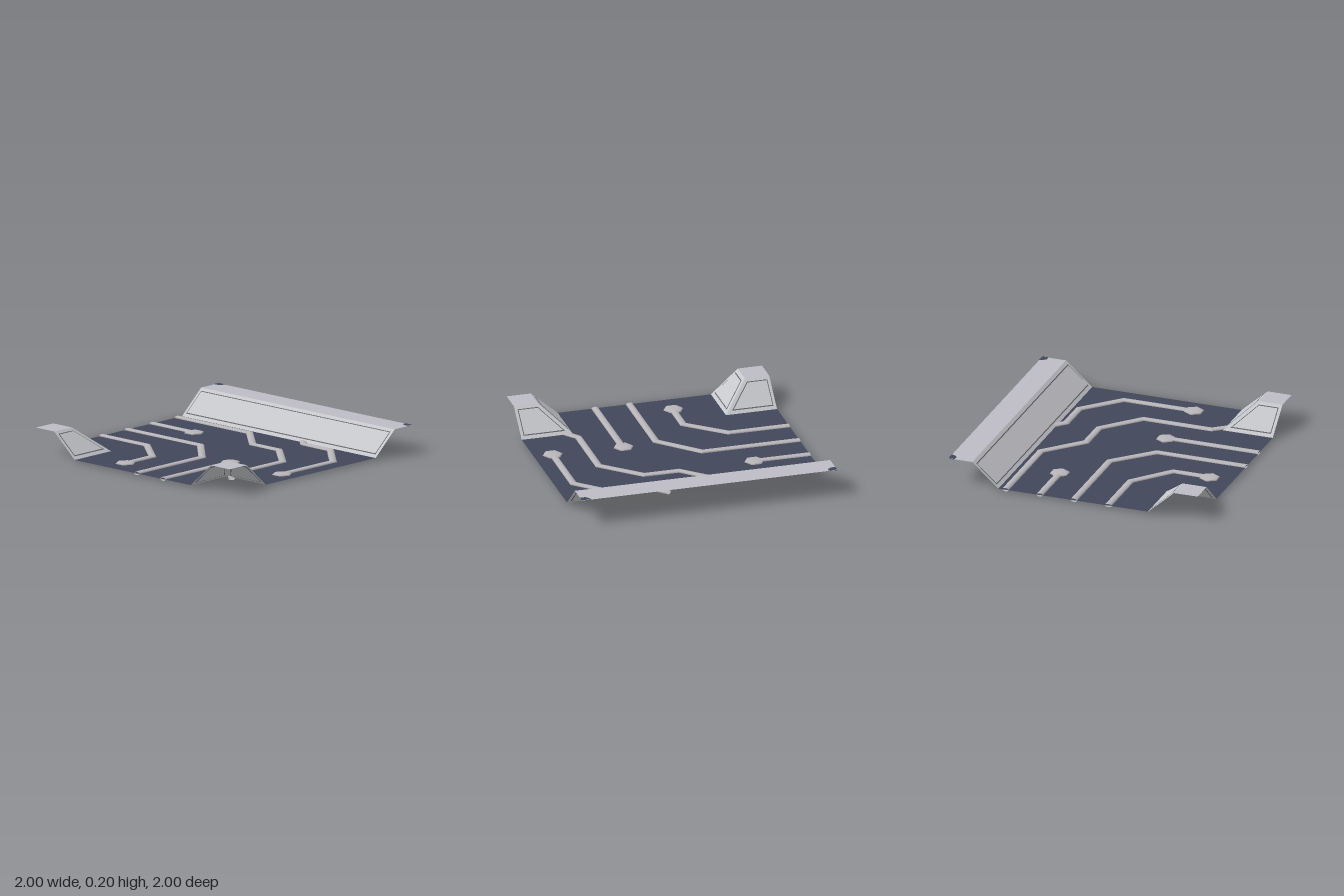
import * as THREE from 'three';

const mat = (name, color) => {
  const m = new THREE.MeshStandardMaterial({ color, side: THREE.DoubleSide });
  m.name = name;
  return m;
};

const FLOOR = 0.014, TOP = 0.2, IN = 0.6, OUT = 0.81;

// Flat convex polygon from points
function polygon(points) {
  const index = [];
  for (let i = 1; i < points.length - 1; i++) index.push(0, i, i + 1);
  const g = new THREE.BufferGeometry().setFromPoints(points);
  g.setIndex(index);
  g.computeVertexNormals();
  return g;
}

// Flattened pipe with mitred bends; each segment has its own rings so bends stay crisp
function pipeGeometry(path, rx = 0.028, ry = FLOOR, sides = 8) {
  const pts = path.map(([x, z]) => new THREE.Vector2(x, z));
  const dirs = pts.slice(1).map((p, i) => p.clone().sub(pts[i]).normalize());
  const pos = [], index = [];
  const ring = (i) => {
    const a = dirs[Math.max(i - 1, 0)], b = dirs[Math.min(i, dirs.length - 1)];
    const t = a.clone().add(b).normalize();
    const w = rx / t.dot(a);
    for (let k = 0; k < sides; k++) {
      const q = (k / sides) * Math.PI * 2;
      const s = Math.cos(q) * w;
      pos.push(pts[i].x - t.y * s, FLOOR + Math.sin(q) * ry, pts[i].y + t.x * s);
    }
  };
  for (let i = 0; i < dirs.length; i++) {
    const o = pos.length / 3;
    ring(i);
    ring(i + 1);
    for (let k = 0; k < sides; k++) {
      const n = (k + 1) % sides;
      index.push(o + k, o + n, o + sides + k, o + n, o + sides + n, o + sides + k);
    }
  }
  const g = new THREE.BufferGeometry();
  g.setAttribute('position', new THREE.Float32BufferAttribute(pos, 3));
  g.setIndex(index);
  g.computeVertexNormals();
  return g;
}

export function createModel() {
  const model = new THREE.Group();
  const floorMat = mat('darkBlueFloor', 0x40465a);
  const ledgeMat = mat('paleLedge', 0xbcbac3);
  const wallMat = mat('lightGreyWall', 0xc6c7cb);
  const lineMat = mat('panelSeam', 0x626268);
  const pipeMat = mat('pipeGrey', 0xb8b5b9);

  const add = (name, geometry, material, parent = model) => {
    const m = new THREE.Mesh(geometry, material);
    m.name = name;
    parent.add(m);
    return m;
  };

  // Floor with both front corners cut away
  const outline = [[-1, -IN], [1, -IN], [1, IN], [IN, IN], [IN, 1], [-IN, 1], [-IN, IN], [-1, IN]];
  const floorShape = new THREE.Shape(outline.map(([x, z]) => new THREE.Vector2(x, -z)));
  const floor = add('floor', new THREE.ShapeGeometry(floorShape), floorMat);
  floor.rotation.x = -Math.PI / 2;
  floor.position.y = FLOOR;

  // Sloped wall with a seamed panel on both sides; map turns (along, depth) into x, z
  const slopeY = (d) => FLOOR + ((d - IN) / (OUT - IN)) * (TOP - FLOOR);
  function slopedWall(name, trapezoid, map) {
    const group = new THREE.Group();
    group.name = name;
    model.add(group);
    const face = (e) => polygon(trapezoid(e).map(([a, d]) => {
      const [x, z] = map(a, d);
      return new THREE.Vector3(x, slopeY(d), z);
    }));
    const sheet = face(0);
    const normal = new THREE.Vector3().fromBufferAttribute(sheet.attributes.normal, 0);
    add('wallSheet', sheet, wallMat, group);
    for (const side of [-1, 1]) {
      add('panelSeam', face(0.022), lineMat, group).position.copy(normal).multiplyScalar(side * 0.002);
      add('panel', face(0.028), wallMat, group).position.copy(normal).multiplyScalar(side * 0.004);
    }
  }

  const cornerFace = (e) => [
    [IN + e * 2.41, IN + e], [1 - e, IN + e], [1 - e, OUT - e], [OUT + e * 0.41, OUT - e],
  ];
  const backFace = (e) => [[-1 + e, IN + e], [1 - e, IN + e], [1 - e, OUT - e], [-1 + e, OUT - e]];

  const ledge = (name, x0, x1, z0, z1) => add(name, polygon([
    new THREE.Vector3(x0, TOP, z1), new THREE.Vector3(x1, TOP, z1),
    new THREE.Vector3(x1, TOP, z0), new THREE.Vector3(x0, TOP, z0),
  ]), ledgeMat);

  // Back wall and its ledge
  slopedWall('backWall', backFace, (a, d) => [a, -d]);
  ledge('backLedge', -1, 1, -1, -OUT);

  for (const s of [-1, 1]) {
    const side = s > 0 ? 'left' : 'right';
    // Front corner ramps
    slopedWall(side + 'CornerRearFace', cornerFace, (a, d) => [s * a, d]);
    slopedWall(side + 'CornerInnerFace', cornerFace, (a, d) => [s * d, a]);
    ledge(side + 'CornerLedge', Math.min(s, s * OUT), Math.max(s, s * OUT), OUT, 1);

    // Dark patches at the back ledge corners, above and below
    for (const y of [TOP - 0.003, TOP + 0.003]) {
      add(side + 'CornerPatch', polygon([[1, -1], [0.93, -1], [0.935, -0.975], [0.96, -0.95], [1, -0.95]]
        .map(([x, z]) => new THREE.Vector3(s * x, y, z))), floorMat);
    }
  }

  // Pipes set into the floor
  const paths = [
    [[-1, -0.545], [-0.25, -0.545], [0.03, -0.285], [0.3, -0.285], [0.58, -0.03], [0.58, 0.52], [0.67, 0.63]],
    [[-1, -0.27], [-0.57, -0.27]],
    [[-1, 0.003], [-0.24, 0.003], [0.04, 0.28], [0.04, 1]],
    [[-1, 0.28], [-0.53, 0.28], [-0.245, 0.52], [-0.245, 0.8]],
    [[0.31, 0.25], [0.31, 1]],
    [[0.21, -0.64], [0.31, -0.55], [0.58, -0.55], [0.855, -0.29], [0.855, 0.27]],
  ];
  for (const path of paths) add('pipe', pipeGeometry(path), pipeMat);

  // Six-sided domed pipe ends
  for (const [x, z] of [[-0.565, -0.27], [0.305, 0.255], [-0.25, 0.815], [0.855, 0.272]]) {
    const node = add('pipeEnd', new THREE.SphereGeometry(0.078, 6, 6), pipeMat);
    node.scale.y = 0.19;
    node.position.set(x, 0.015, z);
  }

  return model;
}
